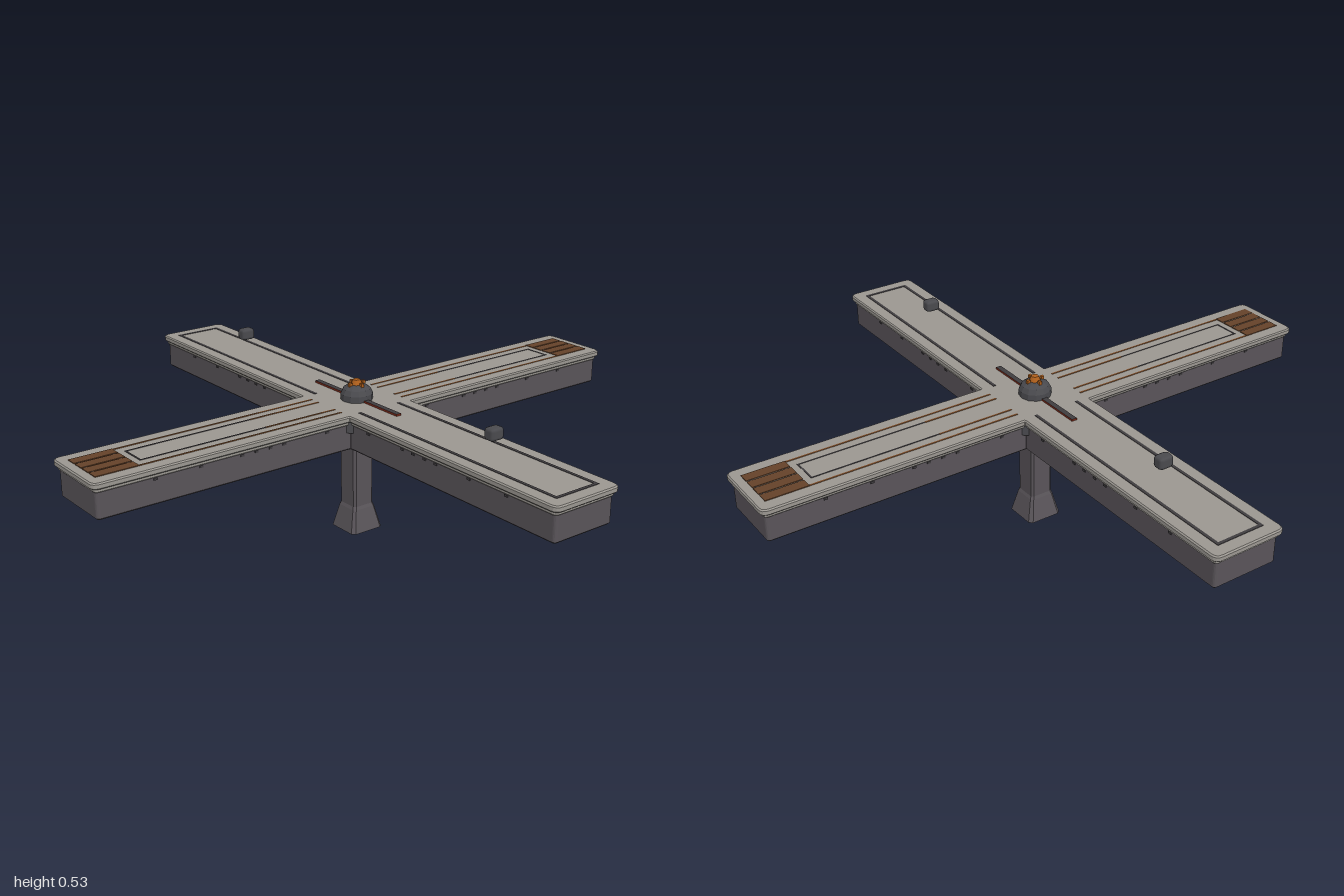
import * as THREE from 'three';
import { RoundedBoxGeometry } from 'three/addons/geometries/RoundedBoxGeometry.js';

const mat = (name, color) => Object.assign(new THREE.MeshStandardMaterial({ color }), { name });

export function createModel() {
  const M = {
    deck: mat('warm grey deck', 0x9b9791),
    hull: mat('dark grey hull', 0x595459),
    dark: mat('charcoal', 0x403d40),
    metal: mat('gunmetal', 0x4a4a4e),
    rust: mat('rust brown', 0x654229),
    copper: mat('copper line', 0x80502c),
    orange: mat('burnt orange', 0xb0601c),
    red: mat('dark red', 0x7a2a1a),
  };
  const model = new THREE.Group();
  model.name = 'crossPlatform';

  function add(name, geometry, material, x = 0, y = 0, z = 0, parent = model) {
    const m = new THREE.Mesh(geometry, material);
    m.name = name;
    m.position.set(x, y, z);
    parent.add(m);
    return m;
  }
  const box = (name, w, h, d, material, x, y, z, parent) =>
    add(name, new THREE.BoxGeometry(w, h, d), material, x, y, z, parent);

  // Plus-shaped outline with rounded arm ends and a chamfered inner corner
  function crossShape(len, half, r, c) {
    const s = new THREE.Shape();
    for (let i = 0; i < 4; i++) {
      const a = i * Math.PI / 2, cos = Math.cos(a), sin = Math.sin(a);
      const p = (x, y) => [x * cos - y * sin, x * sin + y * cos];
      if (i === 0) s.moveTo(...p(half + c, -half));
      else s.lineTo(...p(half + c, -half));
      s.lineTo(...p(len - r, -half));
      s.quadraticCurveTo(...p(len, -half), ...p(len, -half + r));
      s.lineTo(...p(len, half - r));
      s.quadraticCurveTo(...p(len, half), ...p(len - r, half));
      s.lineTo(...p(half + c, half));
      s.lineTo(...p(half, half + c));
    }
    s.closePath();
    return s;
  }

  // Extrudes the cross from y0 to y1, with a small bevel inside its limits
  function crossLayer(name, len, half, r, y0, y1, b, material) {
    const g = new THREE.ExtrudeGeometry(crossShape(len - b, half - b, r, 0.004), {
      depth: y1 - y0 - 2 * b, bevelEnabled: true, bevelThickness: b,
      bevelSize: b, bevelSegments: 1, curveSegments: 4,
    });
    g.rotateX(-Math.PI / 2);
    add(name, g, material, 0, y0 + b, 0);
  }
  crossLayer('hull', 0.986, 0.11, 0.006, 0.326, 0.415, 0.005, M.hull);
  crossLayer('deckLip', 0.99, 0.115, 0.012, 0.41, 0.426, 0.003, M.deck);
  crossLayer('deck', 1.0, 0.124, 0.02, 0.422, 0.442, 0.004, M.deck);

  // Pedestal: chamfered square column with a flared foot
  function chamferedColumn(name, rings) {
    const pos = [], idx = [];
    const ring = (w) => {
      const k = w * 0.82;
      return [[w, -k], [w, k], [k, w], [-k, w], [-w, k], [-w, -k], [-k, -w], [k, -w]];
    };
    rings.forEach(([y, w]) => ring(w).forEach(([x, z]) => pos.push(x, y, z)));
    for (let j = 0; j < rings.length - 1; j++)
      for (let i = 0; i < 8; i++) {
        const a = j * 8 + i, b = j * 8 + (i + 1) % 8;
        idx.push(a, a + 8, b, b, a + 8, b + 8);
      }
    const t = (rings.length - 1) * 8;
    for (let i = 1; i < 7; i++) idx.push(0, i, i + 1, t, t + i + 1, t + i);
    let g = new THREE.BufferGeometry();
    g.setAttribute('position', new THREE.Float32BufferAttribute(pos, 3));
    g.setIndex(idx);
    g = g.toNonIndexed();
    g.computeVertexNormals();
    add(name, g, M.hull);
  }
  chamferedColumn('pedestal', [[0, 0.061], [0.075, 0.043], [0.085, 0.039], [0.34, 0.039]]);

  const top = 0.4415;
  for (const s of [-1, 1]) {
    // Side arms: inset groove and sensor pod
    for (const e of [-1, 1])
      box('sideArmGroove', 0.84, 0.004, 0.01, M.dark, s * 0.535, top, e * 0.077);
    box('sideArmGrooveEnd', 0.01, 0.004, 0.164, M.dark, s * 0.953, top, 0);
    add('hoveringPod', new RoundedBoxGeometry(0.038, 0.04, 0.05, 1, 0.011), M.metal, s * 0.63, 0.51, 0);

    // Front and back arms: painted lines, groove and slatted vent
    for (const e of [-1, 1]) {
      box('armLine', 0.006, 0.004, 0.71, M.copper, e * 0.077, top, s * 0.475);
      box('armInnerLine', 0.006, 0.004, 0.26, M.copper, e * 0.043, top, s * 0.25);
      box('armInnerGroove', 0.004, 0.004, 0.43, M.dark, e * 0.043, top, s * 0.595);
    }
    box('armGrooveEnd', 0.09, 0.004, 0.005, M.dark, 0, top, s * 0.807);
    for (let i = 0; i < 4; i++)
      box('ventSlat', 0.036, 0.006, 0.138, M.rust, (i - 1.5) * 0.0415, top, s * 0.9);
    for (const z of [0.845, 0.955])
      box('ventBar', 0.155, 0.004, 0.008, M.dark, 0, top, s * z);
  }

  // Central strip with red edges
  add('centreStrip', new THREE.BoxGeometry(0.42, 0.008, 0.018),
    [M.red, M.red, M.dark, M.dark, M.red, M.red], 0, 0.4445, 0);

  // Central dome and its clawed lamp
  const dome = new THREE.LatheGeometry([
    [0.052, 0.44], [0.052, 0.462], [0.044, 0.478], [0.028, 0.489], [0, 0.492],
  ].map(([r, y]) => new THREE.Vector2(r, y)), 12).toNonIndexed();
  dome.computeVertexNormals();
  add('centreDome', dome, M.metal);
  add('lamp', new THREE.CylinderGeometry(0.012, 0.02, 0.018, 8), M.orange, 0, 0.497, 0);
  for (let i = 0; i < 4; i++) {
    const a = i * Math.PI / 2;
    box('lampClaw', 0.01, 0.014, 0.01, M.orange, 0.026 * Math.cos(a), 0.491, 0.026 * Math.sin(a));
  }

  // Rivets below the deck lip and brackets at the inner corners, on every arm
  for (let i = 0; i < 4; i++) {
    const arm = new THREE.Group();
    arm.name = 'armFittings';
    arm.rotation.y = i * Math.PI / 2;
    for (const e of [-1, 1])
      for (const x of [0.2, 0.36, 0.41, 0.46, 0.51, 0.65, 0.8])
        box('rivet', 0.012, 0.007, 0.006, M.dark, x, 0.405, e * 0.11, arm);
    const bracket = box('cornerBracket', 0.022, 0.05, 0.012, M.metal, 0.114, 0.41, 0.114, arm);
    bracket.rotation.y = Math.PI / 4;
    model.add(arm);
  }
  return model;
}
